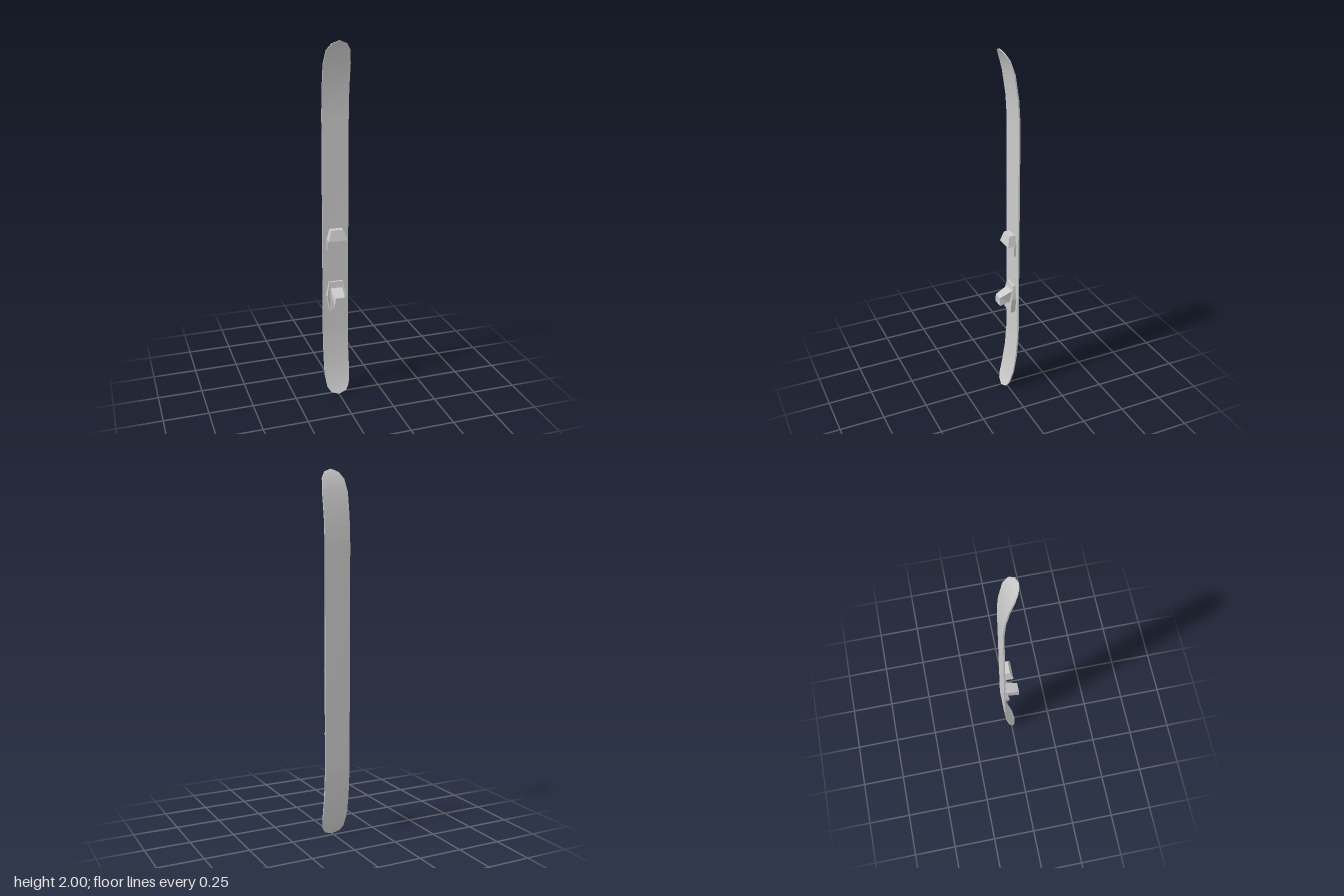
import * as THREE from 'three';
import { toCreasedNormals } from 'three/addons/utils/BufferGeometryUtils.js';

// Skin a list of matching rings (counter-clockwise about the travel direction), capped at both ends
function loft(rings) {
  const n = rings[0].length, index = [];
  for (let r = 0; r < rings.length - 1; r++) {
    for (let i = 0; i < n; i++) {
      const a = r * n + i, b = r * n + (i + 1) % n;
      index.push(a, b, b + n, a, b + n, a + n);
    }
  }
  const last = (rings.length - 1) * n;
  for (let i = 1; i < n - 1; i++) {
    index.push(0, i + 1, i, last, last + i, last + i + 1);
  }
  const geometry = new THREE.BufferGeometry();
  geometry.setAttribute('position', new THREE.Float32BufferAttribute(rings.flat(2), 3));
  geometry.setIndex(index);
  return geometry;
}

function addPart(parent, name, geometry, crease) {
  const mesh = new THREE.Mesh(
    toCreasedNormals(geometry, crease),
    new THREE.MeshStandardMaterial({ color: 0xcccccc })
  );
  mesh.name = name;
  parent.add(mesh);
}

// Four-sided ring facing +z: half widths, heights and depths of its lower and upper edges
const ring = (wLow, wHigh, yLow, yHigh, zLow, zHigh = zLow) => [
  [-wLow, yLow, zLow], [wLow, yLow, zLow], [wHigh, yHigh, zHigh], [-wHigh, yHigh, zHigh],
];

export function createModel() {
  const ski = new THREE.Group();
  ski.name = 'ski';

  // Board: height, half width and front depth from tail to tip
  const sections = [
    [0, 0.002, 0.027], [0.015, 0.045, 0.02], [0.045, 0.064, 0.008], [0.12, 0.074, -0.013],
    [0.23, 0.074, -0.031], [0.36, 0.074, -0.041], [0.4, 0.074, -0.042], [1.6, 0.074, -0.042],
    [1.64, 0.074, -0.041], [1.75, 0.074, -0.034], [1.88, 0.074, -0.014],
    [1.95, 0.064, 0.009], [1.985, 0.04, 0.028], [2, 0.002, 0.038],
  ];
  const thickness = 0.008;
  addPart(ski, 'board', loft(sections.map(([y, w, z]) => [
    [w, y, z], [w, y, z - thickness], [-w, y, z - thickness], [-w, y, z],
  ])), 0.6);

  // Toe binding: six-sided plate with a slanted upper face
  const toe = new THREE.Group();
  toe.name = 'toeBinding';
  const plate = (zLow, zMid, zHigh) => [
    [-0.04, 0.51, zLow], [0.04, 0.51, zLow], [0.055, 0.6, zMid],
    [0.04, 0.68, zHigh], [-0.04, 0.68, zHigh], [-0.055, 0.6, zMid],
  ];
  addPart(toe, 'toePlate', loft([
    plate(-0.044, -0.044, -0.044), plate(-0.014, -0.014, -0.03),
  ]), 0.2);

  // Tapered post standing out from the plate
  addPart(toe, 'toePost', loft([
    ring(0.028, 0.034, 0.575, 0.645, -0.03),
    ring(0.028, 0.034, 0.575, 0.64, -0.014),
    ring(0.032, 0.026, 0.565, 0.612, 0.047),
  ]), 0.2);
  ski.add(toe);

  // Heel binding: low plate under a wedge-shaped clamp
  const heel = new THREE.Group();
  heel.name = 'heelBinding';
  addPart(heel, 'heelPlate', loft([
    ring(0.05, 0.05, 0.87, 0.94, -0.044),
    ring(0.05, 0.05, 0.87, 0.94, -0.03),
  ]), 0.2);
  addPart(heel, 'heelClamp', loft([
    ring(0.05, 0.035, 0.932, 0.99, -0.044),
    ring(0.053, 0.035, 0.932, 0.99, 0.008, -0.008),
  ]), 0.2);
  ski.add(heel);

  return ski;
}
